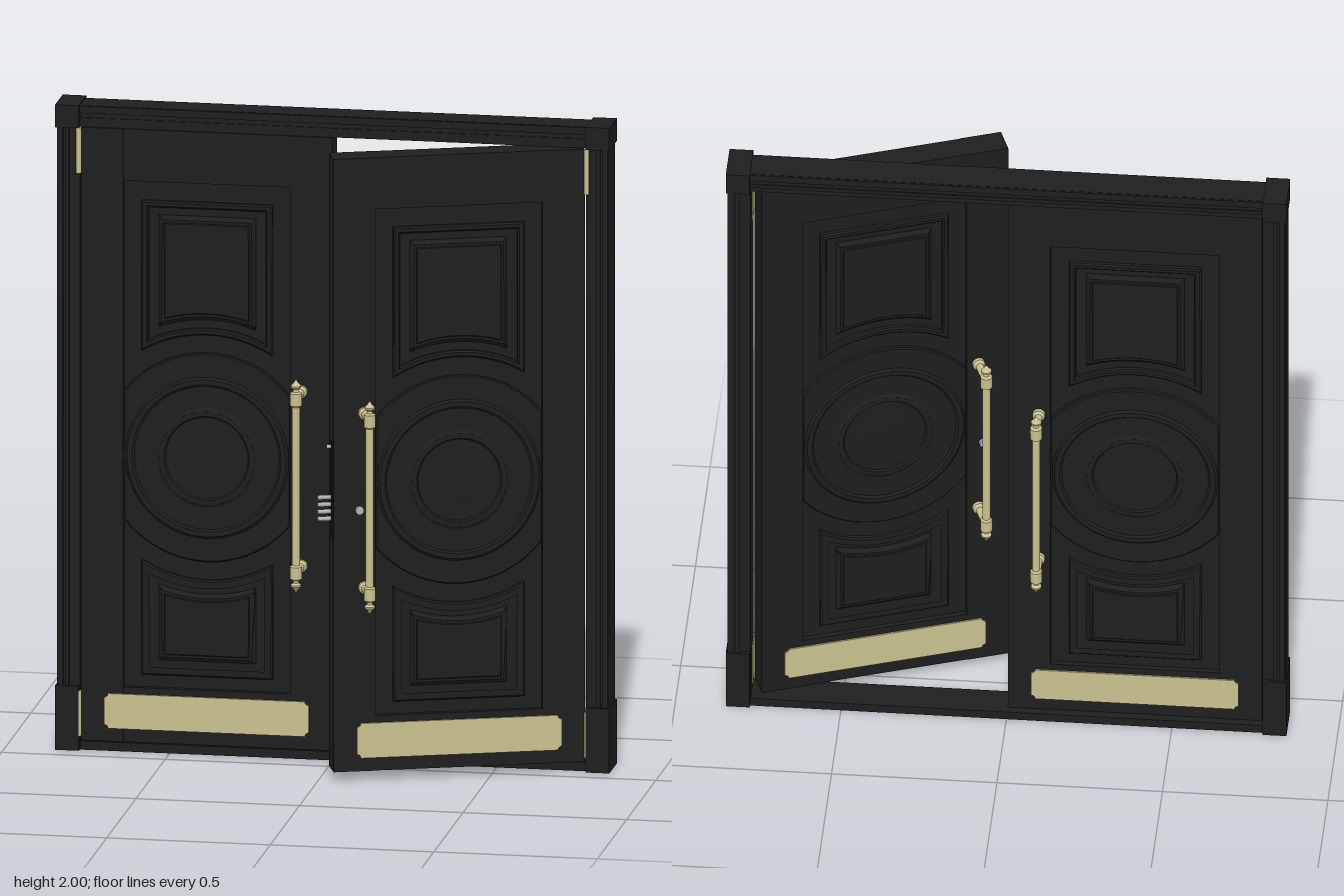
import * as THREE from 'three';
import { toCreasedNormals } from 'three/addons/utils/BufferGeometryUtils.js';

const W = 0.767, H = 1.9, T = 0.085, CY = 0.92; // door leaf size and medallion height
const OPEN = 0.255; // half width between the stiles

const black = new THREE.MeshStandardMaterial({ name: 'blackPaint', color: 0x1e1e1e });
const brass = new THREE.MeshStandardMaterial({ name: 'paleBrass', color: 0xc9c190 });
const steel = new THREE.MeshStandardMaterial({ name: 'steel', color: 0xb0b4b8 });

function add(parent, name, geo, mat, x = 0, y = 0, z = 0) {
  const m = new THREE.Mesh(geo, mat);
  m.name = name;
  m.position.set(x, y, z);
  parent.add(m);
  return m;
}
const box = (w, h, d) => new THREE.BoxGeometry(w, h, d);
const vec = (pts) => pts.map(([x, y]) => new THREE.Vector2(x, y));
const lathe = (pts, n) => toCreasedNormals(new THREE.LatheGeometry(vec(pts), n), 0.6);

// Raised relief with a chamfered edge, standing from z = 0 to z = depth
function relief(shape, depth, bevel) {
  return new THREE.ExtrudeGeometry(shape, {
    depth: depth - bevel, bevelEnabled: true, bevelThickness: bevel, bevelSize: bevel,
    bevelOffset: -bevel, bevelSegments: 1, curveSegments: 32,
  });
}

// Panel outline with one edge hollowed around the medallion centre; dir 1 is above, -1 below
function hollowPanel(w, far, R, dir, Type = THREE.Shape) {
  const a = Math.acos(w / R), s = new Type();
  s.moveTo(-w, dir * far);
  s.lineTo(-w, dir * Math.sqrt(R * R - w * w));
  s.absarc(0, 0, R, dir * (Math.PI - a), dir * a, dir > 0);
  s.lineTo(w, dir * far);
  s.closePath();
  return s;
}

// Border around the medallion, cut straight at the stiles
function medallionBorder() {
  const R = 0.323, w = OPEN, a = Math.acos(w / R), s = new THREE.Shape();
  s.absarc(0, 0, R, a, Math.PI - a, false);
  s.absarc(0, 0, R, Math.PI + a, 2 * Math.PI - a, false);
  s.closePath();
  const hole = new THREE.Path();
  hole.absarc(0, 0, 0.247, 0, Math.PI * 2, true);
  s.holes.push(hole);
  return s;
}

// Kick plate with scooped corners
function kickPlateShape() {
  const w = 0.313, h = 0.054, r = 0.012, s = new THREE.Shape();
  s.moveTo(-w + r, -h);
  s.lineTo(w - r, -h);
  s.absarc(w, -h, r, Math.PI, Math.PI / 2, true);
  s.lineTo(w, h - r);
  s.absarc(w, h, r, -Math.PI / 2, -Math.PI, true);
  s.lineTo(-w + r, h);
  s.absarc(-w, h, r, 0, -Math.PI / 2, true);
  s.lineTo(-w, -h + r);
  s.absarc(-w, -h, r, Math.PI / 2, 0, true);
  return s;
}

// Carved decoration for one face of a door
function createFace() {
  const g = new THREE.Group(), z = T / 2 - 0.018;
  g.name = 'doorFace';
  for (const dir of [1, -1]) {
    const far = dir > 0 ? 0.79 : 0.68;
    const frame = hollowPanel(0.2, far, 0.38, dir);
    frame.holes.push(hollowPanel(0.18, far - 0.02, 0.4, dir, THREE.Path));
    add(g, 'panelMoulding', relief(frame, 0.016, 0.005), black, 0, CY, z);
    const field = hollowPanel(0.148, far - 0.045, 0.425, dir);
    add(g, 'raisedPanel', relief(field, 0.013, 0.012), black, 0, CY, z);
    const inner = hollowPanel(0.13, far - 0.065, 0.445, dir);
    add(g, 'panelField', relief(inner, 0.017, 0.003), black, 0, CY, z);
  }
  add(g, 'medallionBorder', relief(medallionBorder(), 0.014, 0.004), black, 0, CY, z);
  const disc = lathe([[0.25, 0], [0.25, 0.014], [0.243, 0.021], [0.228, 0.021], [0.22, 0.012],
    [0.205, 0.008], [0.185, 0.008], [0.15, 0.015], [0.145, 0.02], [0.13, 0.02], [0.125, 0.013],
    [0.11, 0.013], [0, 0.018]], 64);
  disc.rotateX(Math.PI / 2);
  add(g, 'medallion', disc, black, 0, CY, z);
  const plate = new THREE.ExtrudeGeometry(kickPlateShape(), { depth: 0.005, bevelEnabled: false });
  add(g, 'kickPlate', plate, brass, 0, 0.125, T / 2);
  return g;
}

// Pull handle standing off the door face, with collars and pointed finials
function createHandle() {
  const g = new THREE.Group(), reach = 0.137, mid = 0.87;
  g.name = 'pullHandle';
  const half = [[0.012, 0], [0.012, 0.245], [0.018, 0.25], [0.018, 0.288], [0.009, 0.292],
    [0.008, 0.3], [0.016, 0.306], [0.016, 0.311], [0.007, 0.32], [0, 0.332]];
  const profile = [...half.slice(1).reverse().map(([r, y]) => [r, -y]), ...half];
  add(g, 'handleBar', lathe(profile, 20), brass, 0, mid, reach);
  for (const y of [mid - 0.27, mid + 0.27]) {
    const post = lathe([[0.019, 0], [0.019, 0.012], [0.012, 0.02], [0.012, reach - T / 2]], 20);
    post.rotateX(Math.PI / 2);
    add(g, 'handlePost', post, brass, 0, y, T / 2);
  }
  return g;
}

// Door leaf centred on x and z; free is the x sign of its opening edge
function createDoor(name, free) {
  const g = new THREE.Group();
  g.name = name;
  const stile = W / 2 - OPEN, top = 0.03 + H;
  add(g, 'doorCore', box(2 * OPEN, H, T - 0.036), black, 0, 0.03 + H / 2, 0);
  for (const s of [-1, 1]) {
    add(g, 'stile', box(stile, H, T), black, s * (OPEN + stile / 2), 0.03 + H / 2, 0);
  }
  add(g, 'topRail', box(2 * OPEN, top - 1.77, T - 0.003), black, 0, (top + 1.77) / 2, 0);
  add(g, 'bottomRail', box(2 * OPEN, 0.17, T - 0.003), black, 0, 0.115, 0);
  for (const turn of [0, Math.PI]) {
    const face = createFace();
    face.rotation.y = turn;
    const handle = createHandle();
    handle.rotation.y = turn;
    handle.position.x = free * 0.29;
    g.add(face, handle);
  }
  return g;
}

// Lock bolts on the edge and a key cylinder through the leaf
function addLock(door, free) {
  const edge = free * W / 2;
  const bolt = (y, len, r) => {
    const geo = new THREE.CylinderGeometry(r, r, len, 14).rotateZ(Math.PI / 2);
    add(door, 'lockBolt', geo, steel, edge + free * len / 2, y, 0);
  };
  for (let i = 0; i < 4; i++) bolt(0.807 + i * 0.022, 0.042, 0.007);
  bolt(1.03, 0.015, 0.006);
  add(door, 'lockPlate', box(0.004, 0.3, 0.025), black, edge, 0.9, 0);
  const key = new THREE.CylinderGeometry(0.013, 0.013, T + 0.02, 20).rotateX(Math.PI / 2);
  add(door, 'keyCylinder', key, steel, free * 0.305, 0.84, 0);
}

function createFrame() {
  const g = new THREE.Group(), z = -0.125;
  g.name = 'doorFrame';
  for (const s of [-1, 1]) {
    add(g, 'jamb', box(0.07, 1.93, 0.105), black, s * 0.808, 0.965, z);
    // stepped reeds along the jamb
    [[0.833, 0.018, 0.124], [0.812, 0.012, 0.118], [0.794, 0.012, 0.112]].forEach(([x, w, d]) =>
      add(g, 'jambReed', box(w, 1.93, d), black, s * x, 0.965, z));
    add(g, 'topCornerBlock', box(0.072, 0.07, 0.13), black, s * 0.811, 1.965, z);
    add(g, 'plinthBlock', box(0.072, 0.2, 0.13), black, s * 0.811, 0.1, z);
    for (const y of [0.115, 1.86]) {
      add(g, 'hingeBarrel', new THREE.CylinderGeometry(0.008, 0.008, 0.14, 14), brass, s * 0.776, y, -0.068);
      add(g, 'hingeLeaf', box(0.004, 0.14, 0.06), brass, s * 0.772, y, -0.1);
    }
  }
  add(g, 'header', box(1.56, 0.066, 0.092), black, 0, 1.963, z - 0.003);
  add(g, 'headerTrim', box(1.56, 0.022, 0.104), black, 0, 1.984, z - 0.003);
  add(g, 'headerTrim', box(1.56, 0.012, 0.1), black, 0, 1.953, z - 0.003);
  add(g, 'sill', box(1.56, 0.027, 0.104), black, 0, 0.0135, z - 0.003);
  return g;
}

export function createModel() {
  const model = new THREE.Group();
  model.name = 'doubleDoor';
  model.add(createFrame());

  const closed = createDoor('closedDoor', 1);
  closed.position.set(-0.77 + W / 2, 0, -0.117);
  model.add(closed);

  // the other leaf swings forward on its hinge
  const hinge = new THREE.Group();
  hinge.name = 'openDoorHinge';
  hinge.position.set(0.77, 0, -0.072);
  hinge.rotation.y = THREE.MathUtils.degToRad(20);
  const open = createDoor('openDoor', -1);
  addLock(open, -1);
  open.position.set(-W / 2, 0, -T / 2);
  hinge.add(open);
  model.add(hinge);
  return model;
}
